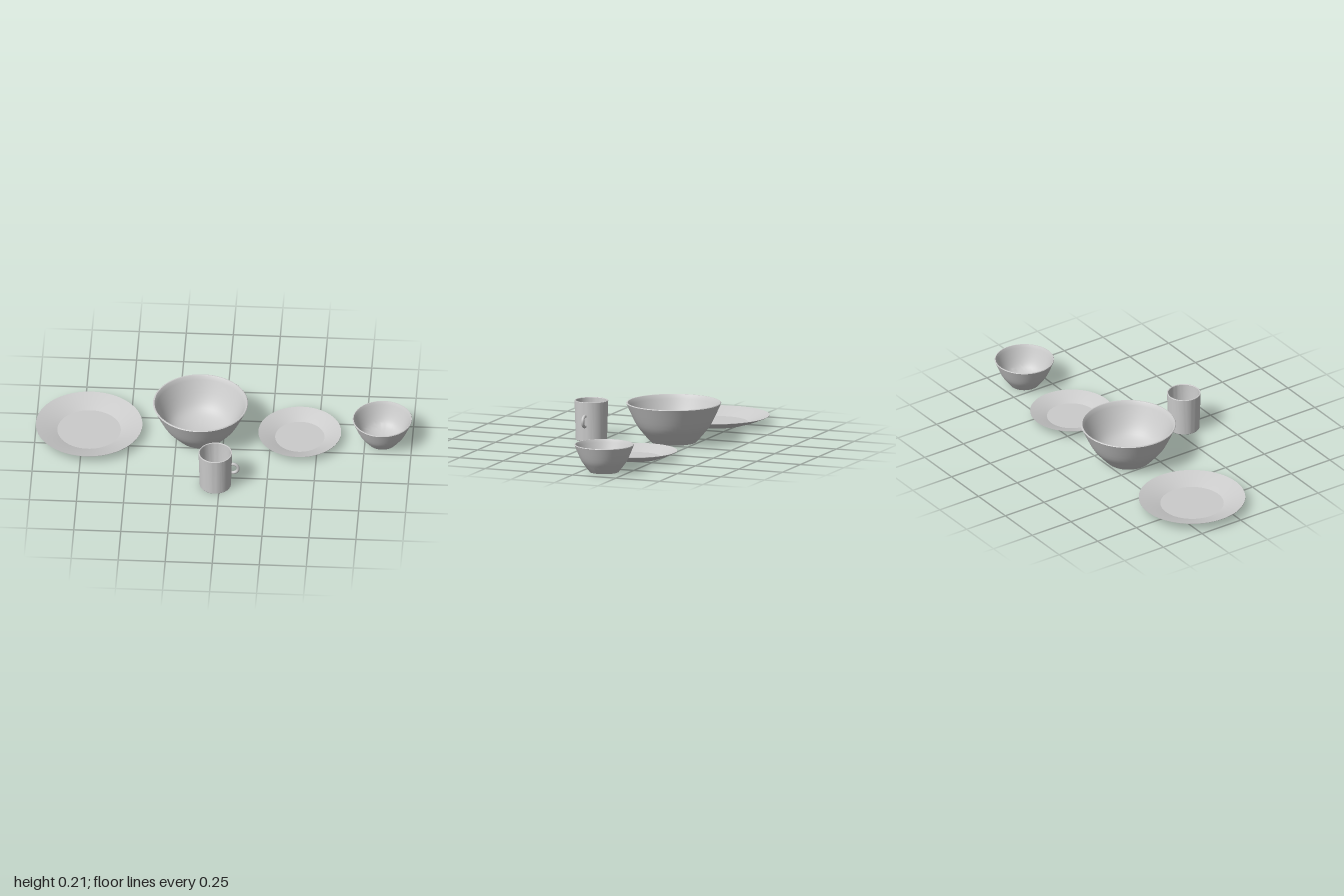
import * as THREE from 'three';
import { toCreasedNormals } from 'three/addons/utils/BufferGeometryUtils.js';

const material = new THREE.MeshStandardMaterial({ color: 0xcccccc });
const vectors = (points) => points.map(([r, y]) => new THREE.Vector2(r, y));
const smooth = (points, n = 12) => new THREE.SplineCurve(vectors(points)).getPoints(n)
  .map((p) => [Math.max(p.x, 0), p.y]);

// Closed profile: base centre, up the outside, over the rim, down the inside
function turned(name, profile, crease, x, z) {
  const lathe = new THREE.LatheGeometry(vectors(profile), 64);
  const mesh = new THREE.Mesh(toCreasedNormals(lathe, crease), material);
  mesh.name = name;
  mesh.position.set(x, 0, z);
  return mesh;
}

// Shallow plate with flat centre and sloping rim
function plate(name, r, h, x) {
  return turned(name, [
    [0, 0], [r * 0.55, 0], [r * 0.77, h * 0.4], [r, h - 0.002],
    [r, h], [r * 0.76, h * 0.56], [r * 0.595, h * 0.2], [0, h * 0.2],
  ], 0.14, x, -0.118);
}

// Deep bowl with flat foot, flaring wall and rounded inside
function bowl(name, r, h, foot, wall, x) {
  const outside = smooth([
    [foot, 0], [foot + (r - foot) * 0.3, h * 0.21], [foot + (r - foot) * 0.61, h * 0.47], [r, h - 0.003],
  ]);
  const inside = smooth([
    [r - wall, h - 0.003], [foot + (r - foot) * 0.61 - wall, h * 0.48],
    [foot + (r - foot) * 0.26 - wall, h * 0.22], [foot * 0.6, h * 0.09], [0, h * 0.06],
  ], 16);
  return turned(name, [
    [0, 0], ...outside, [r - wall * 0.25, h], [r - wall * 0.75, h], ...inside,
  ], 0.6, x, -0.118);
}

function mug() {
  const group = new THREE.Group();
  group.name = 'mug';
  const x = -0.022, z = 0.312;

  // Slightly tapered cup, rounded into a small flat floor
  const cove = smooth([[0.076, 0.055], [0.07, 0.027], [0.056, 0.013], [0.037, 0.009]], 8);
  group.add(turned('mugBody', [
    [0, 0], [0.081, 0], [0.083, 0.003], [0.0895, 0.211], [0.088, 0.213],
    [0.084, 0.213], [0.0825, 0.211], ...cove, [0, 0.009],
  ], 0.3, x, z));

  // Ring handle with both ends set into the wall
  const arc = Math.PI * 1.2;
  const handle = new THREE.Mesh(new THREE.TorusGeometry(0.028, 0.0085, 12, 32, arc), material);
  handle.name = 'mugHandle';
  handle.rotation.z = -arc / 2;
  handle.position.set(0.071, 0.112, z);
  group.add(handle);
  return group;
}

export function createModel() {
  const model = new THREE.Group();
  model.name = 'tableware';
  model.add(
    plate('dinnerPlate', 0.283, 0.047, -0.717),
    bowl('servingBowl', 0.2525, 0.213, 0.12, 0.011, -0.125),
    plate('sidePlate', 0.22, 0.042, 0.403),
    bowl('smallBowl', 0.158, 0.148, 0.077, 0.007, 0.842),
    mug(),
  );
  return model;
}
